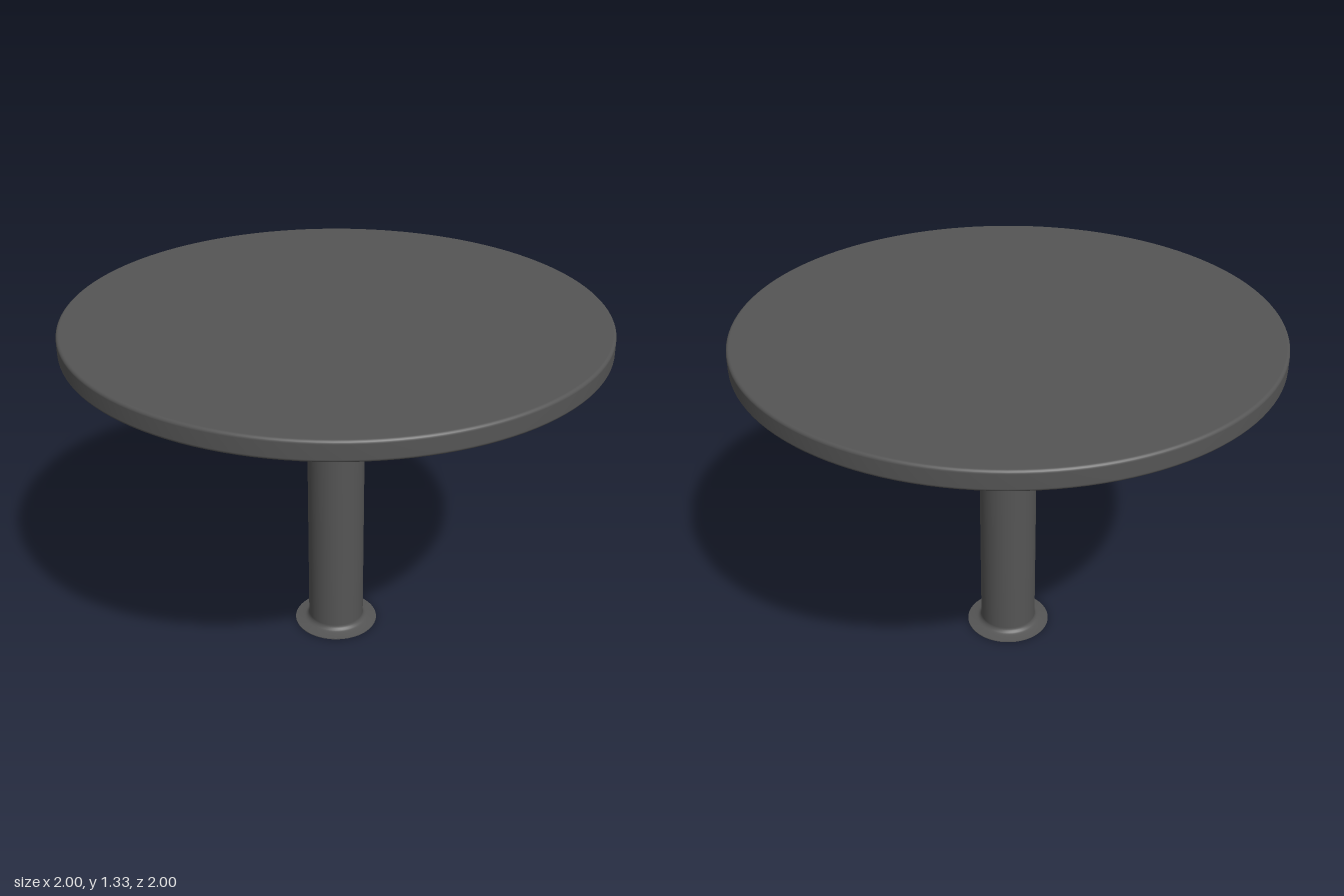
import * as THREE from 'three';

const material = new THREE.MeshStandardMaterial({ color: 0x555555 });

// Quarter-circle profile points around (cx, cy), angles in quarter turns
function arc(cx, cy, r, from, to, steps = 5) {
  return Array.from({ length: steps + 1 }, (_, i) => {
    const a = (from + ((to - from) * i) / steps) * Math.PI / 2;
    return [cx + r * Math.cos(a), cy + r * Math.sin(a)];
  });
}

function turned(name, profile, segments) {
  const points = profile.map(([r, y]) => new THREE.Vector2(r, y));
  const mesh = new THREE.Mesh(new THREE.LatheGeometry(points, segments), material);
  mesh.name = name;
  return mesh;
}

export function createModel() {
  const group = new THREE.Group();
  group.name = 'pedestalTable';

  // Round top with softly rounded rims
  const bottom = 1.255, top = 1.33, rim = 0.012;
  group.add(turned('tableTop', [
    [0, bottom],
    ...arc(1 - rim, bottom + rim, rim, -1, 0),
    ...arc(1 - rim, top - rim, rim, 0, 1),
    [0, top],
  ], 128));

  // Column flaring into a thin foot; doubled points keep the foot edge sharp
  const radius = 0.11, flare = 0.022, foot = 0.165;
  group.add(turned('column', [
    [0, 0], [foot, 0], [foot, 0],
    [foot, 0.003], [foot, 0.003],
    [0.145, 0.005],
    ...arc(radius + flare, 0.008 + flare, flare, 3, 2),
    ...arc(radius - 0.012, bottom - 0.012, 0.012, 0, 1),
    [0, bottom],
  ], 64));

  return group;
}
